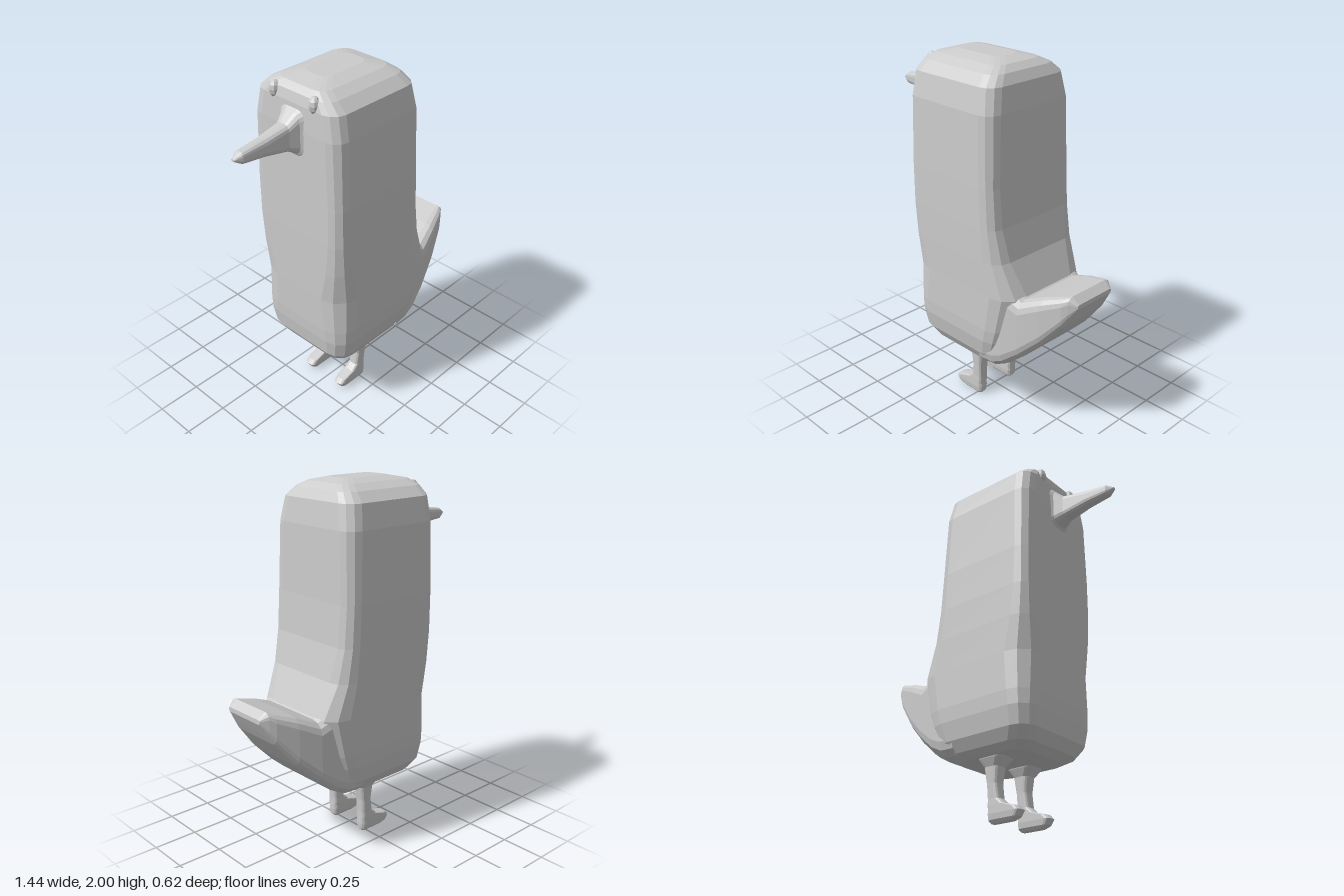
import * as THREE from 'three';

const material = new THREE.MeshStandardMaterial({ color: 0xcccccc, flatShading: true });

// Rounded rectangle, counter-clockwise, as [a, b] pairs
function outline(a0, a1, b0, b1, r) {
  const ra = Math.min(r, (a1 - a0) * 0.48), rb = Math.min(r, (b1 - b0) * 0.48);
  const corners = [[a1 - ra, b1 - rb], [a0 + ra, b1 - rb], [a0 + ra, b0 + rb], [a1 - ra, b0 + rb]];
  const pts = [];
  corners.forEach(([ca, cb], q) => {
    for (let k = 0; k <= 3; k++) {
      const t = (q + k / 3) * Math.PI / 2;
      pts.push([ca + ra * Math.cos(t), cb + rb * Math.sin(t)]);
    }
  });
  return pts;
}

// Skin over rings of [station, min, max, half width in z, corner radius].
// axis 'y': rings listed from top to bottom; axis 'x': listed along +x.
function loft(name, axis, rings) {
  const n = 16, pos = [], idx = [];
  const put = (s, a, b) => (axis === 'y' ? pos.push(a, s, b) : pos.push(s, a, b));
  for (const [s, lo, hi, hz, r] of rings) {
    for (const [a, b] of outline(lo, hi, -hz, hz, r)) put(s, a, b);
  }
  for (let j = 0; j < rings.length - 1; j++) {
    for (let i = 0; i < n; i++) {
      const p = j * n + i, p2 = j * n + (i + 1) % n;
      idx.push(p, p2, p2 + n, p, p2 + n, p + n);
    }
  }
  // End caps
  const last = rings.length - 1;
  for (const j of [0, last]) {
    const [s, lo, hi] = rings[j], c = pos.length / 3;
    put(s, (lo + hi) / 2, 0);
    for (let i = 0; i < n; i++) {
      const p = j * n + i, p2 = j * n + (i + 1) % n;
      if (j === 0) idx.push(c, p2, p);
      else idx.push(c, p, p2);
    }
  }
  const g = new THREE.BufferGeometry();
  g.setAttribute('position', new THREE.Float32BufferAttribute(pos, 3));
  g.setIndex(idx);
  g.computeVertexNormals();
  const mesh = new THREE.Mesh(g, material);
  mesh.name = name;
  return mesh;
}

export function createModel() {
  const bird = new THREE.Group();
  bird.name = 'bird';

  // Tall body and head in one column, facing -x
  bird.add(loft('body', 'y', [
    [2.0, -0.2, 0.1, 0.08, 0.05],
    [1.98, -0.3, 0.18, 0.16, 0.06],
    [1.95, -0.33, 0.22, 0.22, 0.07],
    [1.9, -0.343, 0.25, 0.275, 0.08],
    [1.77, -0.35, 0.268, 0.3, 0.08],
    [1.4, -0.35, 0.277, 0.31, 0.075],
    [1.18, -0.35, 0.292, 0.312, 0.08],
    [1.0, -0.348, 0.33, 0.312, 0.1],
    [0.81, -0.345, 0.415, 0.31, 0.14],
    [0.6, -0.34, 0.36, 0.31, 0.12],
    [0.52, -0.335, 0.33, 0.305, 0.11],
    [0.42, -0.32, 0.29, 0.285, 0.1],
    [0.36, -0.28, 0.26, 0.25, 0.1],
    [0.33, -0.22, 0.22, 0.2, 0.08],
  ]));

  // Upturned wedge tail
  bird.add(loft('tail', 'x', [
    [0.16, 0.34, 0.9, 0.285, 0.09],
    [0.25, 0.345, 0.9, 0.28, 0.09],
    [0.32, 0.385, 0.87, 0.275, 0.08],
    [0.42, 0.47, 0.815, 0.255, 0.07],
    [0.54, 0.59, 0.865, 0.22, 0.06],
    [0.65, 0.73, 0.9, 0.178, 0.045],
    [0.68, 0.78, 0.91, 0.16, 0.035],
    [0.72, 0.85, 0.875, 0.13, 0.01],
  ]));

  // Long pointed beak, flared where it meets the face
  bird.add(loft('beak', 'x', [
    [-0.72, 1.735, 1.748, 0.01, 0.01],
    [-0.68, 1.712, 1.772, 0.03, 0.02],
    [-0.55, 1.696, 1.79, 0.037, 0.03],
    [-0.41, 1.672, 1.815, 0.046, 0.03],
    [-0.36, 1.645, 1.86, 0.065, 0.04],
    [-0.33, 1.6, 1.89, 0.1, 0.05],
  ]));

  for (const side of [-1, 1]) {
    // Small bump above each side of the beak
    const brow = new THREE.Mesh(new THREE.SphereGeometry(1, 8, 6), material);
    brow.name = side < 0 ? 'rightBrow' : 'leftBrow';
    brow.scale.set(0.032, 0.045, 0.03);
    brow.position.set(-0.328, 1.925, side * 0.135);
    bird.add(brow);

    // Leg and foot, toe pointing forward
    const leg = loft(side < 0 ? 'rightLeg' : 'leftLeg', 'y', [
      [0.37, -0.1, 0.1, 0.075, 0.04],
      [0.325, -0.075, 0.075, 0.062, 0.03],
      [0.285, -0.042, 0.052, 0.042, 0.025],
      [0.2, -0.03, 0.038, 0.036, 0.02],
      [0.12, -0.042, 0.034, 0.033, 0.02],
      [0.09, -0.075, 0.034, 0.034, 0.02],
      [0.068, -0.15, 0.035, 0.034, 0.025],
      [0.045, -0.173, 0.036, 0.034, 0.025],
      [0.015, -0.155, 0.034, 0.03, 0.025],
      [0, -0.12, 0.02, 0.018, 0.015],
    ]);
    leg.position.z = side * 0.12;
    bird.add(leg);
  }
  return bird;
}
